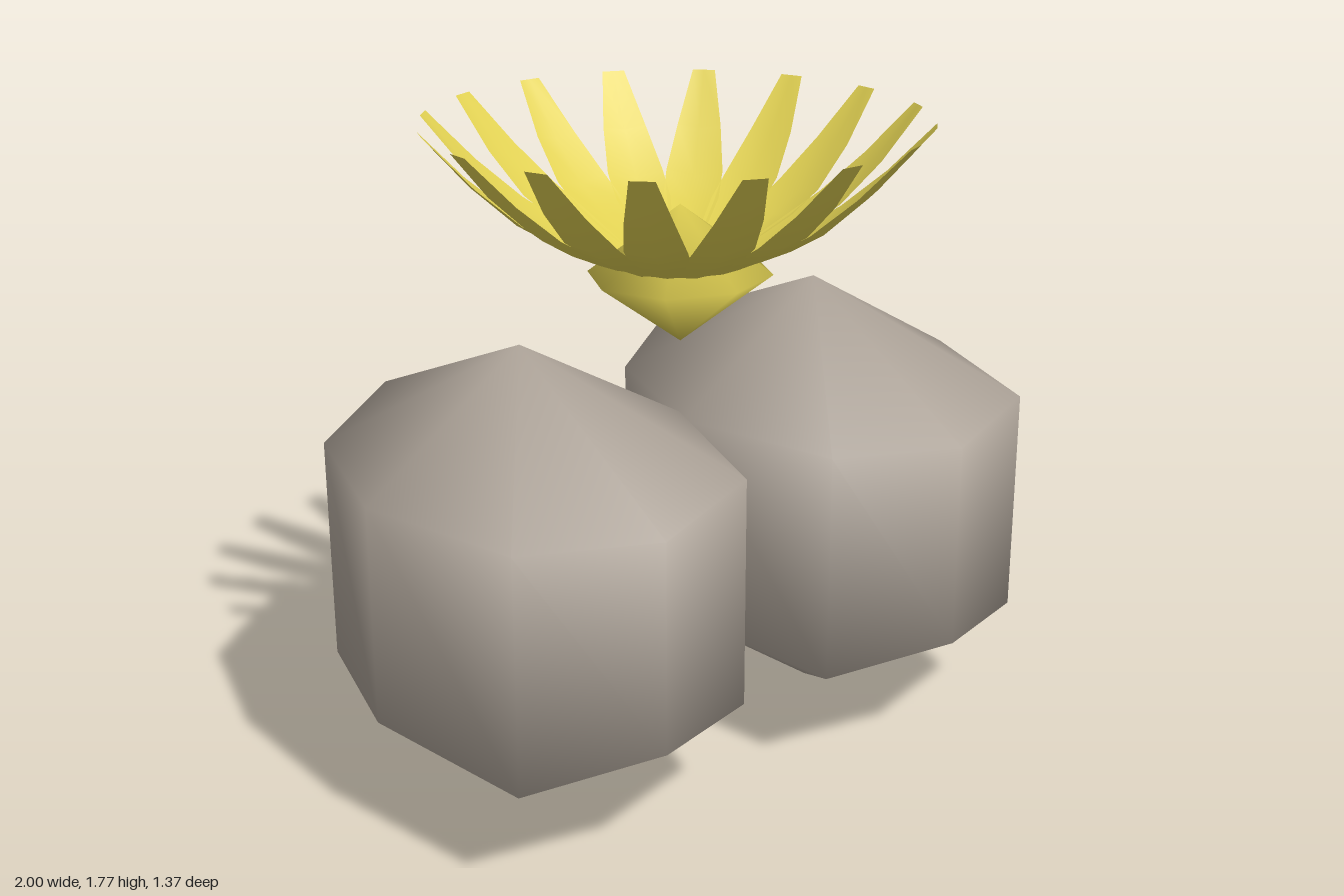
import * as THREE from 'three';

const stone = new THREE.MeshStandardMaterial({ color: 0xb0a69b });
stone.name = 'stone';
const yellow = new THREE.MeshStandardMaterial({ color: 0xe0d052, side: THREE.DoubleSide });
yellow.name = 'petalYellow';

// Irregular ring of the stones: x, z and half height, in order around the sphere from -x
const RING = [
  [-0.47, 0, 0.3], [-0.38, 0.51, 0.32], [0, 0.61, 0.29], [0.36, 0.48, 0.32],
  [0.52, 0, 0.33], [0.32, -0.41, 0.31], [0, -0.69, 0.34], [-0.34, -0.44, 0.31],
];

// Coarse sphere whose two rings are pushed out to the irregular outline
function stoneGeometry() {
  const geo = new THREE.SphereGeometry(0.63, 8, 3);
  const pos = geo.attributes.position;
  for (const row of [1, 2]) {
    for (let i = 0; i <= 8; i++) {
      const [x, z, h] = RING[i % 8];
      pos.setXYZ(row * 9 + i, x, row === 1 ? h : -h, z);
    }
  }
  return geo;
}

// Petal pointing along +x: radius, height, half width, depth of the cup
const PETAL = [
  [0.16, 1.385, 0.035, 0.005], [0.255, 1.425, 0.06, 0.012], [0.34, 1.465, 0.078, 0.016],
  [0.43, 1.52, 0.08, 0.016], [0.55, 1.63, 0.062, 0.01], [0.675, 1.775, 0.032, 0],
];

function petalGeometry() {
  const points = [], index = [];
  PETAL.forEach(([r, y, w, cup], row) => {
    for (const side of [-1, 0, 1]) points.push(r, y + (side ? cup : 0), side * w);
    if (row === 0) return;
    for (let c = 0; c < 2; c++) {
      const a = (row - 1) * 3 + c, b = row * 3 + c;
      index.push(a, a + 1, b, a + 1, b + 1, b);
    }
  });
  const geo = new THREE.BufferGeometry();
  geo.setAttribute('position', new THREE.Float32BufferAttribute(points, 3));
  geo.setIndex(index);
  geo.computeVertexNormals();
  return geo;
}

export function createModel() {
  const model = new THREE.Group();
  model.name = 'floweringStones';

  // Pair of stone-like leaves
  const leafGeo = stoneGeometry();
  [[-0.53, 'rightStone'], [0.475, 'leftStone']].forEach(([x, name]) => {
    const leaf = new THREE.Mesh(leafGeo, stone);
    leaf.name = name;
    leaf.position.set(x, 0.63, 0);
    model.add(leaf);
  });

  // Flower
  const flower = new THREE.Group();
  flower.name = 'flower';
  flower.position.set(-0.023, 0, 0.006);
  model.add(flower);

  const bud = new THREE.Mesh(new THREE.SphereGeometry(0.26, 8, 2), yellow);
  bud.name = 'flowerCentre';
  bud.scale.set(1, 0.73, 0.92);
  bud.position.set(0.006, 1.36, 0.008);
  flower.add(bud);

  const petalGeo = petalGeometry();
  for (let i = 0; i < 16; i++) {
    const petal = new THREE.Mesh(petalGeo, yellow);
    petal.name = 'petal' + (i + 1);
    petal.rotation.y = (i * Math.PI) / 8;
    flower.add(petal);
  }
  return model;
}
